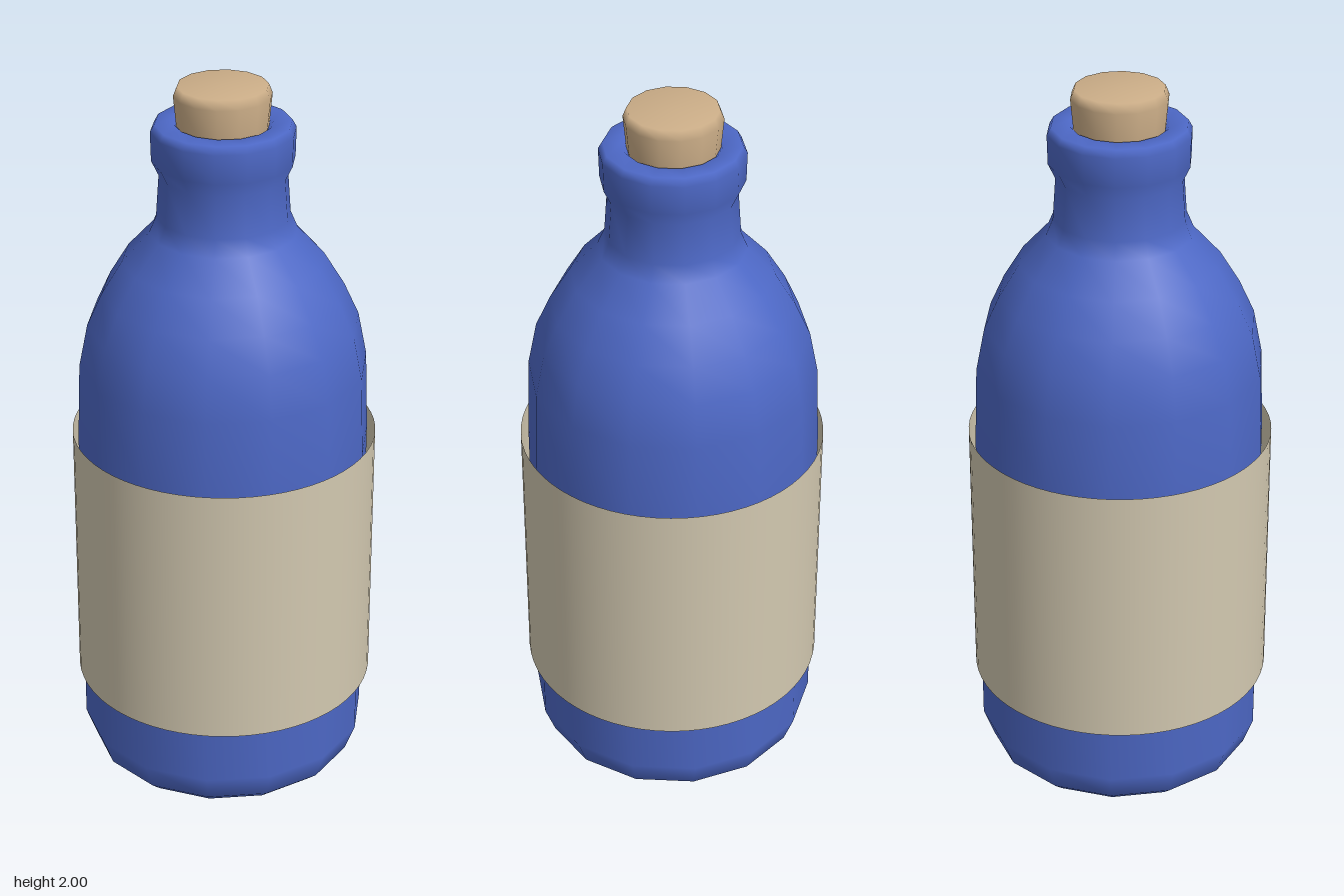
import * as THREE from 'three';

const SIDES = 14;

// Smooth lathe with a corner pointing along +x; points run bottom to top.
function turned(name, color, points) {
  const profile = points.map(([r, y]) => new THREE.Vector2(r, y));
  const geometry = new THREE.LatheGeometry(profile, SIDES, Math.PI / 2);
  const mesh = new THREE.Mesh(geometry, new THREE.MeshStandardMaterial({ color }));
  mesh.name = name;
  return mesh;
}

export function createModel() {
  const model = new THREE.Group();
  model.name = 'corkedBottle';

  // Glass body: rounded base, straight wall, shoulder, neck and lip
  const body = turned('bottleBody', 0x4d68c6, [
    [0, 0], [0.3, 0], [0.335, 0.01], [0.37, 0.04], [0.398, 0.115],
    [0.398, 1.0], [0.39, 1.22], [0.366, 1.34], [0.325, 1.43],
    [0.27, 1.52], [0.197, 1.6], [0.178, 1.645], [0.17, 1.76],
    [0.189, 1.8], [0.191, 1.88], [0.18, 1.9], [0.13, 1.9], [0.11, 1.88],
  ]);
  body.position.x = -0.002;

  // Cork stopper, slightly wider at the top
  const cork = turned('cork', 0xccae88, [
    [0, 1.82], [0.115, 1.82], [0.122, 1.9], [0.129, 1.975], [0.119, 2], [0, 2],
  ]);
  cork.position.x = -0.004;

  // Paper label: thin open sleeve around the body
  const label = new THREE.Mesh(
    new THREE.CylinderGeometry(0.414, 0.414, 0.745, 64, 1, true),
    new THREE.MeshStandardMaterial({ color: 0xd2c8b0, side: THREE.DoubleSide })
  );
  label.name = 'label';
  label.position.y = 0.648;

  model.add(body, cork, label);
  return model;
}
